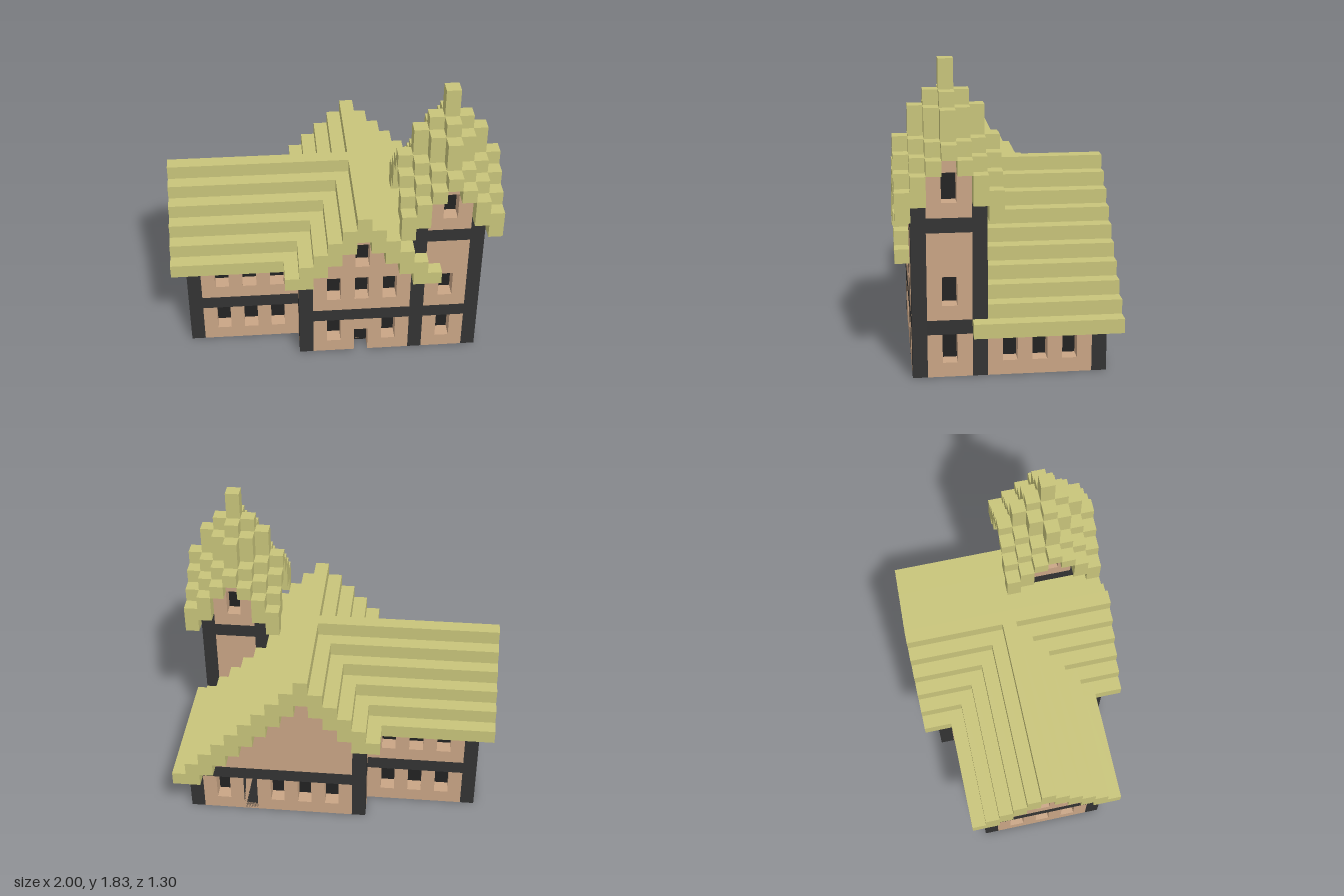
import * as THREE from 'three';
import { mergeGeometries } from 'three/addons/utils/BufferGeometryUtils.js';

const U = 2 / 23; // size of one building block
const material = (name, color) => {
  const m = new THREE.MeshStandardMaterial({ color });
  m.name = name;
  return m;
};

// Box spanning block coordinates [x0,x1] [y0,y1] [z0,z1]
function block(x0, x1, y0, y1, z0, z1) {
  const g = new THREE.BoxGeometry((x1 - x0) * U, (y1 - y0) * U, (z1 - z0) * U);
  g.translate(((x0 + x1) / 2 - 11.5) * U, ((y0 + y1) / 2) * U, ((z0 + z1) / 2 - 7.5) * U);
  return g;
}

export function createModel() {
  const group = new THREE.Group();
  const plaster = material('plaster', 0xc9a585);
  const timber = material('dark timber', 0x333333);
  const glass = material('dark window', 0x222222);
  const thatch = material('straw roof', 0xc8c47a);

  const add = (name, geometries, mat) => {
    if (!geometries.length) return;
    const mesh = new THREE.Mesh(mergeGeometries(geometries), mat);
    mesh.name = name;
    group.add(mesh);
  };

  // Wall one block thick, running along x or z, with openings and timber beams.
  // inward: direction of the interior across the wall; top(i): wall height at column i
  function wall(name, axis, plane, inward, from, to, top, windows = {}, beams = [3], base = 0) {
    const across = (a0, a1, y0, y1, p0, p1) =>
      axis === 'x' ? block(a0, a1, y0, y1, p0, p1) : block(p0, p1, y0, y1, a0, a1);
    const bricks = [], panes = [], rails = [];
    for (let i = from; i <= to; i++) {
      const holes = windows[i] || [];
      const cuts = [...holes, ...beams.map((b) => [b, b + 1])].sort((a, b) => a[0] - b[0]);
      let y = base;
      for (const [lo, hi] of cuts) {
        if (lo >= top(i)) continue;
        if (lo > y) bricks.push(across(i, i + 1, y, lo, plane, plane + 1));
        y = hi;
      }
      if (top(i) > y) bricks.push(across(i, i + 1, y, top(i), plane, plane + 1));
      const back = inward > 0 ? plane + 1 : plane - 0.06;
      for (const [lo, hi] of holes) panes.push(across(i, i + 1, lo, hi, back, back + 0.06));
    }
    for (const b of beams) rails.push(across(from, to + 1, b, b + 1, plane, plane + 1));
    add(name + 'Wall', bricks, plaster);
    add(name + 'Windows', panes, glass);
    add(name + 'Beams', rails, timber);
  }

  const low = [1, 3], high = [5, 7], attic = [12, 14];
  const at = (columns, holes) => Object.fromEntries(columns.map((c) => [c, holes]));
  const mainRoof = (i) => 12 - Math.abs(i - 13);
  const wingRoof = (k) => 12 - Math.abs(k - 7);
  const eaves = () => 7;

  // Main house
  wall('mainFront', 'x', 13, -1, 10, 16, (i) => mainRoof(i) - 1, {
    11: [low, high], 13: [[0, 2], high, [8, 10]], 15: [low, high],
  });
  wall('mainBack', 'x', 1, 1, 10, 20, (i) => mainRoof(i) - 1, at([11, 13, 15, 19], [low]));
  wall('mainRight', 'z', 21, -1, 2, 8, () => 3, at([3, 5, 7], [low]));
  wall('mainLeftBack', 'z', 9, 1, 2, 3, eaves);
  wall('mainLeftFront', 'z', 9, 1, 11, 12, eaves);

  // Side wing
  wall('wingFront', 'x', 11, -1, 2, 8, eaves, at([3, 5, 7], [low, high]));
  wall('wingBack', 'x', 3, 1, 2, 8, eaves, at([3, 5, 7], [low, high]));
  wall('wingEnd', 'z', 1, 1, 4, 10, (k) => wingRoof(k) - 1, at([5, 7, 9], [low, high]));

  // Tower
  const towerTop = (c) => (i) => (i === c ? 15 : 14);
  wall('towerFront', 'x', 13, -1, 18, 20, towerTop(19), { 19: [low, high, attic] }, [3, 10]);
  wall('towerRight', 'z', 21, -1, 10, 12, towerTop(11), { 11: [low, high, attic] }, [3, 10]);
  wall('towerBack', 'x', 9, 1, 18, 20, towerTop(19), { 19: [attic] }, [10], 4);
  wall('towerLeft', 'z', 17, 1, 10, 12, towerTop(11), { 11: [attic] }, [10], 4);

  // Upright corner posts: column, row, height
  const posts = [
    [1, 3, 7], [1, 11, 7], [9, 1, 7], [9, 13, 7], [17, 1, 7], [21, 1, 3],
    [17, 9, 12], [17, 13, 12], [21, 9, 12], [21, 13, 12],
  ];
  add('cornerPosts', posts.map(([i, k, h]) => block(i, i + 1, 0, h, k, k + 1)), timber);

  // Floors
  add('floor', [block(10, 21, 0.04, 0.2, 2, 13), block(2, 10, 0.04, 0.2, 4, 11)], plaster);

  // Stepped main roof, cut around the tower
  const roof = [];
  for (let i = 8; i <= 22; i++) {
    const t = mainRoof(i);
    const bottom = i === 8 || i === 22 ? t : t - 1;
    const end = i <= 16 ? 15 : i === 22 ? 10 : 9;
    roof.push(block(i, i + 1, bottom, t + 1, 0, end));
    if (i === 17 || i === 18) roof.push(block(i, i + 1, 7, t + 1, 14, 15));
  }
  add('mainRoof', roof, thatch);

  // Stepped wing roof, running into the main roof
  const wing = [];
  for (let k = 2; k <= 12; k++) {
    const t = wingRoof(k);
    wing.push(block(0, t + 2, Math.max(7, t - 1), t + 1, k, k + 1));
  }
  add('wingRoof', wing, thatch);

  // Spire of block columns, falling away from the centre over four gables
  const tops = [21, 19, 18, 16, 15, 14, 13];
  const bottoms = [15, 14, 12, 11];
  const spire = [];
  for (let a = -3; a <= 3; a++) {
    for (let b = -3; b <= 3; b++) {
      const x = Math.abs(a), z = Math.abs(b);
      const bottom = bottoms[Math.min(x, z)];
      spire.push(block(19 + a, 20 + a, bottom, tops[x + z], 11 + b, 12 + b));
    }
  }
  add('towerSpire', spire, thatch);

  return group;
}
